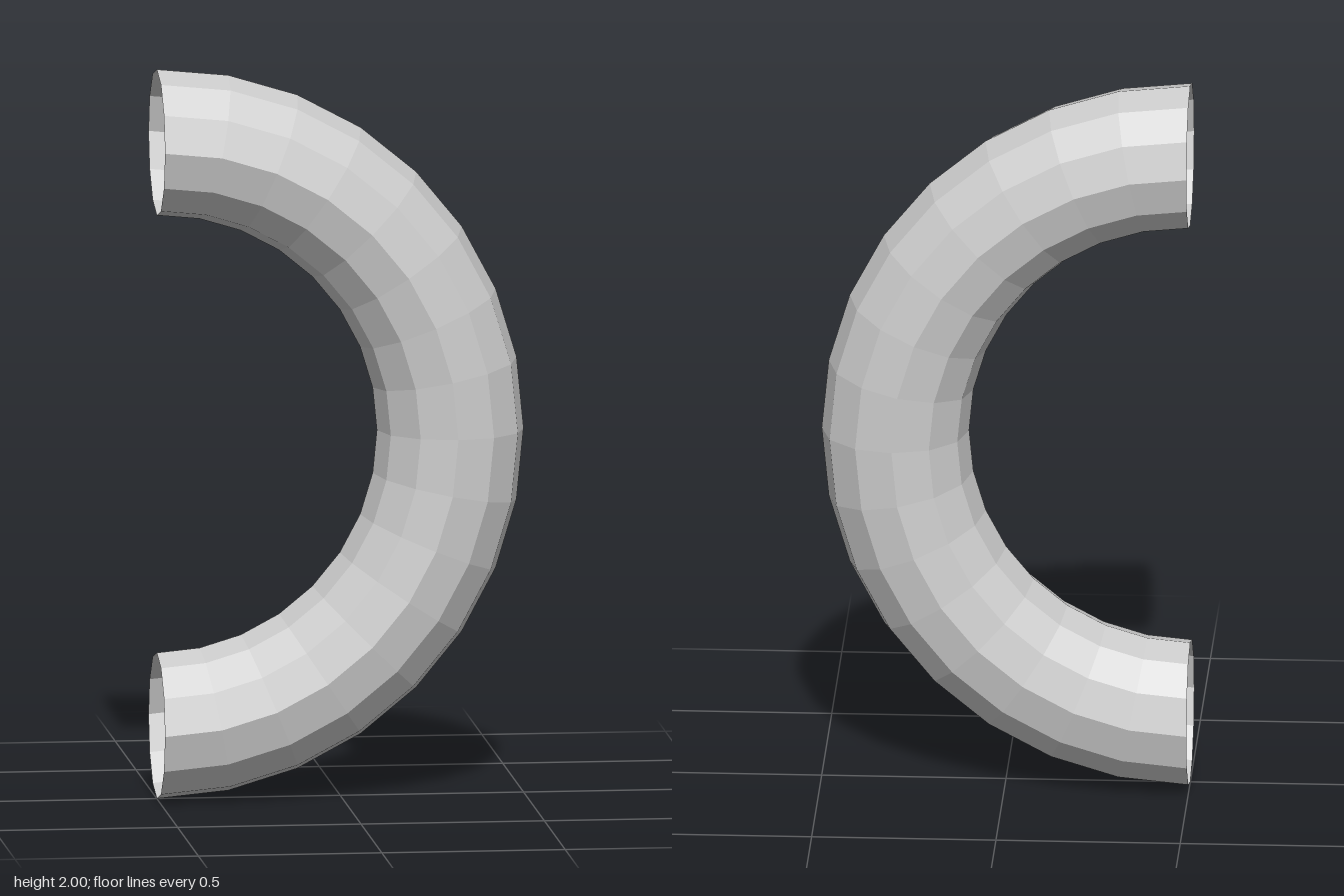
import * as THREE from 'three';

export function createModel() {
  const group = new THREE.Group();
  const material = new THREE.MeshStandardMaterial({
    color: 0xcccccc,
    flatShading: true,
    side: THREE.DoubleSide,
  });

  // Half-ring tube, open at both ends, bulging towards +x
  const geometry = new THREE.TorusGeometry(0.8, 0.2, 12, 16, Math.PI);
  geometry.rotateZ(-Math.PI / 2);
  geometry.translate(-0.5, 1, 0);

  const bend = new THREE.Mesh(geometry, material);
  bend.name = 'pipeBend';
  group.add(bend);
  return group;
}
